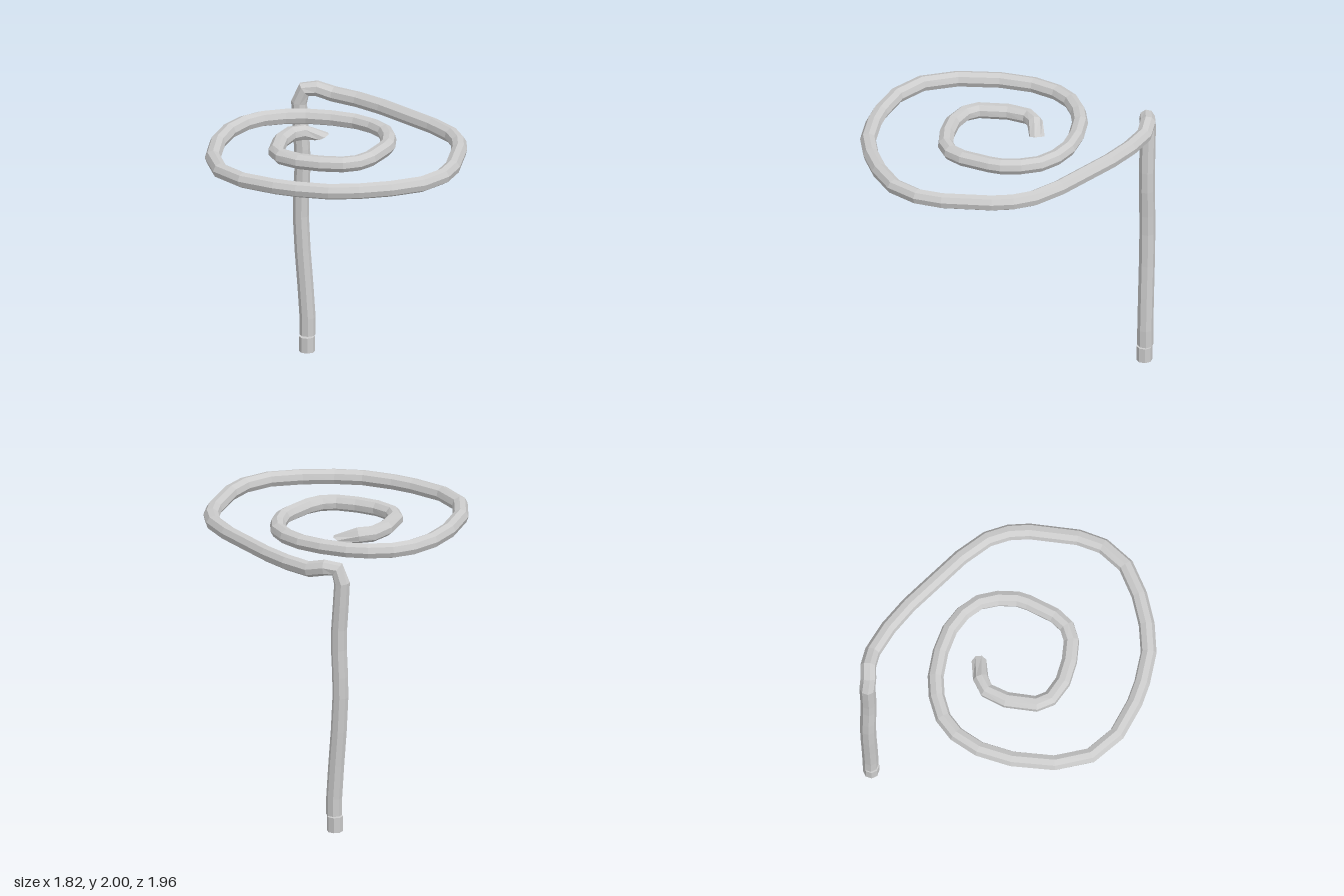
import * as THREE from 'three';

const SIDES = 8;
const RADIUS = 0.056;
const LEVEL = 1.915;

// Sweeps an octagon along a list of points, carrying its frame forward from ring to ring.
function sweep(points, endTangent) {
  const pos = [], index = [];
  const last = points.length - 1;
  const side = new THREE.Vector3(0, 0, 1);
  points.forEach((p, i) => {
    const into = p.clone().sub(points[Math.max(i - 1, 0)]).normalize();
    const out = points[Math.min(i + 1, last)].clone().sub(p).normalize();
    const t = i === 0 ? new THREE.Vector3(0, 1, 0)
      : i === last ? endTangent.clone().normalize()
      : into.add(out).normalize();
    side.addScaledVector(t, -side.dot(t)).normalize();
    const up = t.clone().cross(side);
    for (let j = 0; j < SIDES; j++) {
      const a = ((j + 0.5) / SIDES) * Math.PI * 2;
      const v = p.clone()
        .addScaledVector(side, Math.cos(a) * RADIUS)
        .addScaledVector(up, Math.sin(a) * RADIUS);
      pos.push(v.x, v.y, v.z);
    }
  });
  for (let i = 0; i < last; i++) {
    for (let j = 0; j < SIDES; j++) {
      const k = (j + 1) % SIDES;
      const a = i * SIDES + j, b = i * SIDES + k;
      index.push(a, b, b + SIDES, a, b + SIDES, a + SIDES);
    }
  }
  // end caps
  const e = last * SIDES;
  for (let j = 1; j < SIDES - 1; j++) {
    index.push(0, j + 1, j, e, e + j, e + j + 1);
  }
  const g = new THREE.BufferGeometry();
  g.setAttribute('position', new THREE.Float32BufferAttribute(pos, 3));
  g.setIndex(index);
  g.computeVertexNormals();
  return g;
}

export function createModel() {
  const group = new THREE.Group();
  const material = new THREE.MeshStandardMaterial({ color: 0xcccccc, flatShading: true });

  // wavy upright and the raised elbow: x, y, z
  const stem = [
    [-0.595, 0.122, -0.88], [-0.595, 0.25, -0.88], [-0.612, 0.5, -0.88],
    [-0.632, 0.75, -0.88], [-0.645, 1.0, -0.88], [-0.643, 1.15, -0.88],
    [-0.633, 1.35, -0.88], [-0.635, 1.5, -0.88], [-0.648, 1.68, -0.88],
    [-0.658, 1.84, -0.88], [-0.622, 1.938, -0.885], [-0.54, 1.945, -0.915],
  ];

  // level spiral from the elbow to the middle: x, z
  const spiral = [
    [-0.42, -0.925], [-0.22, -0.88], [-0.01, -0.8], [0.23, -0.68], [0.44, -0.575],
    [0.63, -0.445], [0.725, -0.32], [0.78, -0.185], [0.85, 0.15], [0.845, 0.335],
    [0.76, 0.53], [0.585, 0.69], [0.395, 0.81], [0.205, 0.89], [-0.02, 0.92],
    [-0.18, 0.92], [-0.435, 0.88], [-0.645, 0.76], [-0.78, 0.54], [-0.85, 0.25],
    [-0.855, 0.01], [-0.805, -0.175], [-0.72, -0.3], [-0.585, -0.395], [-0.45, -0.45],
    [-0.265, -0.478], [-0.09, -0.472], [0.055, -0.425], [0.17, -0.345], [0.24, -0.23],
    [0.28, -0.1], [0.28, -0.02], [0.25, 0.185], [0.2, 0.29], [0.11, 0.355],
    [-0.035, 0.39], [-0.195, 0.397], [-0.34, 0.355], [-0.41, 0.275], [-0.45, 0.07],
    [-0.43, -0.08], [-0.36, -0.15],
  ];

  const points = [
    ...stem.map((p) => new THREE.Vector3(...p)),
    ...spiral.map(([x, z]) => new THREE.Vector3(x, LEVEL, z)),
    new THREE.Vector3(-0.245, 1.88, -0.2), // inner tip, cut facing down
  ];
  const rod = new THREE.Mesh(sweep(points, new THREE.Vector3(0.35, -0.92, -0.15)), material);
  rod.name = 'spiralRod';
  group.add(rod);

  // short foot below a narrow gap
  const footGeometry = new THREE.CylinderGeometry(RADIUS, RADIUS, 0.11, SIDES);
  footGeometry.rotateY(Math.PI / SIDES);
  const foot = new THREE.Mesh(footGeometry, material);
  foot.name = 'foot';
  foot.position.set(-0.597, 0.055, -0.873);
  group.add(foot);

  return group;
}
